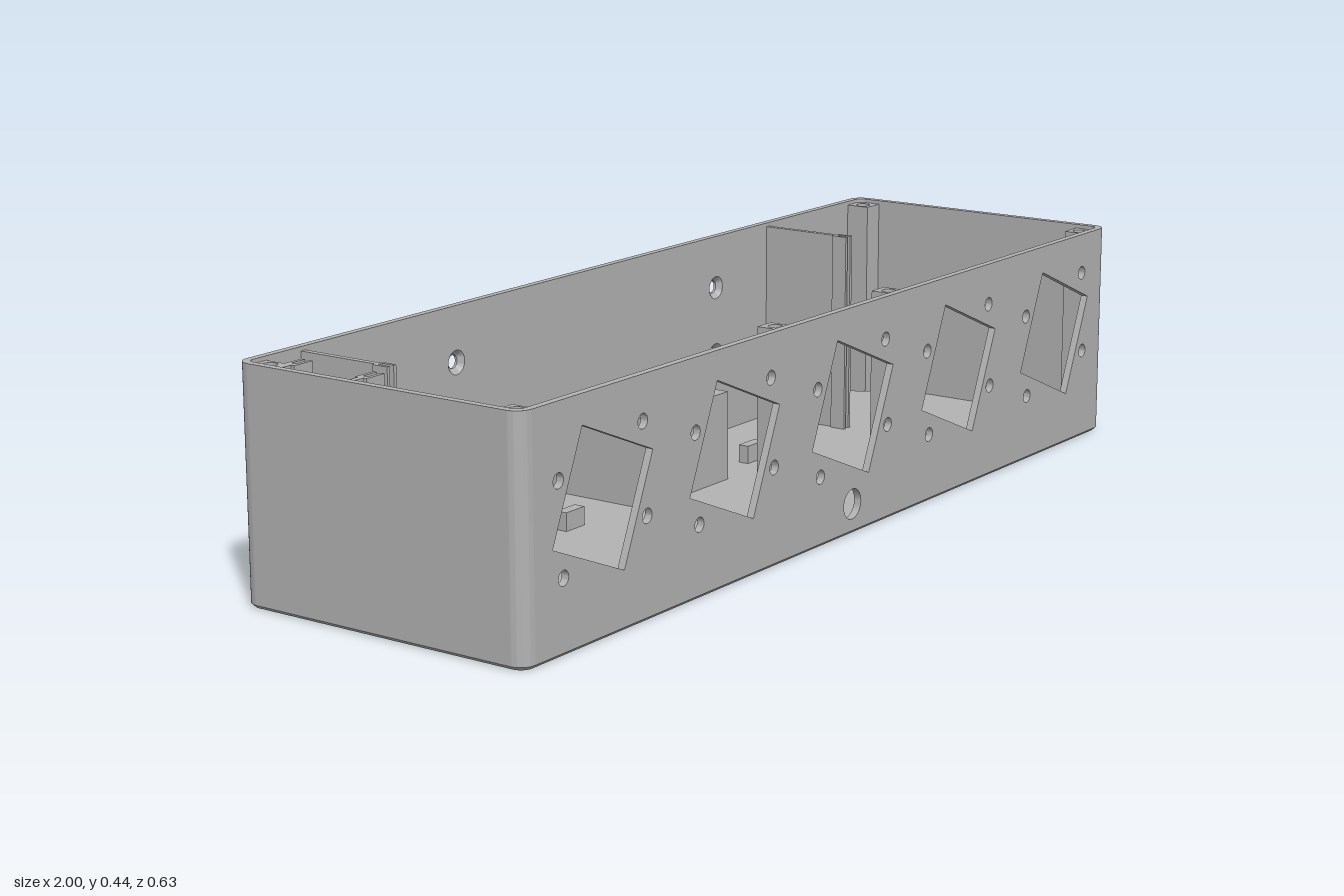
import * as THREE from 'three';
import { toCreasedNormals } from 'three/addons/utils/BufferGeometryUtils.js';

const HX = 1, HZ = 0.317, H = 0.445, T = 0.015, R = 0.03, CH = 0.007, FLOOR = 0.018;
const NL = -0.125, NR = 0.12, NF = -0.083, NH = 0.185; // socket notch: left, right, front, height

export function createModel() {
  const group = new THREE.Group();
  const grey = new THREE.MeshStandardMaterial({ color: 0xb3b3b3, side: THREE.DoubleSide });
  grey.name = 'grey plastic';

  const add = (name, geo, x = 0, y = 0, z = 0) => {
    const mesh = new THREE.Mesh(geo, grey);
    mesh.name = name;
    mesh.position.set(x, y, z);
    group.add(mesh);
    return mesh;
  };
  // Box given by its limits
  const box = (name, x0, x1, y0, y1, z0, z1) =>
    add(name, new THREE.BoxGeometry(x1 - x0, y1 - y0, z1 - z0), (x0 + x1) / 2, (y0 + y1) / 2, (z0 + z1) / 2);
  const poly = (pts) => new THREE.Shape(pts.map(([x, y]) => new THREE.Vector2(x, y)));
  const rect = (x0, x1, y0, y1) => poly([[x0, y0], [x1, y0], [x1, y1], [x0, y1]]);
  const hole = (shape, x, y, r) => shape.holes.push(new THREE.Path().absarc(x, y, r, 0, Math.PI * 2, true));
  const extrude = (shape, depth) => toCreasedNormals(
    new THREE.ExtrudeGeometry(shape, { depth, bevelEnabled: false, curveSegments: 10 }), 0.6);
  // Horizontal plate: shape y points to the back
  const slab = (name, shape, y0, y1) => add(name, extrude(shape, y1 - y0).rotateX(-Math.PI / 2), 0, y0, 0);
  const lathe = (pts) => toCreasedNormals(
    new THREE.LatheGeometry(pts.map(([x, y]) => new THREE.Vector2(x, y)), 24), 0.6);
  // Countersunk screw hole lining, wide at its upper end
  const countersink = (wide, narrow, t) => lathe([[wide, 0], [narrow, 0], [narrow, t * 0.35], [wide, t]]);

  // Rounded outline, open at the notch in the back edge
  const outline = (inset) => {
    const pts = [[NL, HZ - inset]];
    const corners = [[-1, 1], [-1, -1], [1, -1], [1, 1]];
    corners.forEach(([sx, sy], k) => {
      for (let i = 0; i <= 6; i++) {
        const a = Math.PI / 2 * (1 + k + i / 6);
        pts.push([sx * (HX - R) + Math.cos(a) * (R - inset), sy * (HZ - R) + Math.sin(a) * (R - inset)]);
      }
    });
    pts.push([NR, HZ - inset]);
    return pts;
  };

  // Floor with notch, screw holes and foot recesses
  const lower = outline(CH), upper = outline(0);
  const floor = poly([...lower, [NR, -NF], [NL, -NF]]);
  const screwX = [-0.78, -0.39, 0, 0.39, 0.78];
  screwX.forEach((x) => hole(floor, x, -0.24, 0.028));
  for (const sx of [-1, 1]) for (const sz of [-1, 1]) hole(floor, sx * 0.952, sz * 0.269, 0.036);
  slab('floor', floor, 0, FLOOR);
  screwX.forEach((x) => add('floorScrewHole', countersink(0.028, 0.012, FLOOR), x, 0, 0.24));

  // Chamfer around the bottom edge
  const strip = [];
  for (let i = 0; i < lower.length - 1; i++) {
    const q = [[lower[i], 0], [lower[i + 1], 0], [upper[i + 1], CH], [upper[i], CH]];
    for (const k of [0, 1, 2, 0, 2, 3]) strip.push(q[k][0][0], q[k][1], -q[k][0][1]);
  }
  const chamfer = new THREE.BufferGeometry();
  chamfer.setAttribute('position', new THREE.Float32BufferAttribute(strip, 3));
  chamfer.computeVertexNormals();
  add('bottomChamfer', chamfer);

  // Front wall with five tilted square openings
  const front = rect(-HX + R, HX - R, CH, H);
  const tilt = -23 * Math.PI / 180, half = 0.107;
  for (const x of screwX) {
    const square = new THREE.Path();
    square.setFromPoints([0, 1, 2, 3].map((k) => {
      const a = tilt + Math.PI / 4 - k * Math.PI / 2;
      return new THREE.Vector2(x + Math.cos(a) * half * Math.SQRT2, 0.25 + Math.sin(a) * half * Math.SQRT2);
    }));
    square.closePath();
    front.holes.push(square);
    for (const s of [-1, 1]) {
      hole(front, x + s * 0.123, 0.25 - s * 0.059, 0.014);
      hole(front, x + s * 0.112, 0.25 + s * 0.112, 0.014);
    }
  }
  hole(front, 0, 0.06, 0.03);
  add('frontWall', extrude(front, T), 0, 0, HZ - T);

  // Back wall with notch, mounting holes and cable hole
  const back = poly([[-HX + R, CH], [NL, CH], [NL, NH], [NR, NH], [NR, CH], [HX - R, CH], [HX - R, H], [-HX + R, H]]);
  for (const x of [-0.425, 0.425]) for (const y of [0.19, 0.335]) {
    hole(back, x, y, 0.024);
    add('mountingHole', countersink(0.024, 0.013, T).rotateX(Math.PI / 2), x, y, -HZ);
  }
  hole(back, -0.743, 0.09, 0.025);
  add('backWall', extrude(back, T), 0, 0, -HZ);
  add('cableTube', lathe([[0.012, 0], [0.025, 0], [0.025, 0.102], [0.012, 0.102], [0.012, 0]]).rotateX(Math.PI / 2),
    -0.743, 0.09, -HZ);

  // Side walls, rounded corners and corner posts
  for (const sx of [-1, 1]) {
    box('sideWall', sx > 0 ? HX - T : -HX, sx > 0 ? HX : -HX + T, CH, H, -HZ + R, HZ - R);
    for (const sy of [-1, 1]) {
      const a = Math.atan2(sy, sx) < 0 ? (sx > 0 ? -Math.PI / 2 : Math.PI) : (sx > 0 ? 0 : Math.PI / 2);
      const cx = sx * (HX - R), cy = sy * (HZ - R);
      const ring = new THREE.Shape();
      ring.absarc(cx, cy, R, a, a + Math.PI / 2, false);
      ring.absarc(cx, cy, R - T, a + Math.PI / 2, a, true);
      slab('cornerWall', ring, CH, H);
      const xs = [sx * 0.988, sx * 0.937].sort((p, q) => p - q), ys = [sy * 0.305, sy * 0.25].sort((p, q) => p - q);
      const post = rect(xs[0], xs[1], ys[0], ys[1]);
      hole(post, sx * 0.958, sy * 0.275, 0.015);
      slab('cornerPost', post, 0.2, 0.437);
      box('cornerPostBase', xs[0], xs[1], FLOOR - 0.006, 0.2, ys[0], ys[1]);
    }
  }

  // Posts in the middle of the front wall
  for (const x of [-0.196, 0.196]) {
    const post = rect(x - 0.022, x + 0.022, -0.304, -0.245);
    hole(post, x, -0.27, 0.014);
    slab('frontPost', post, FLOOR, 0.437);
  }

  // Raised housing over the notch, with two openings on top
  const lid = rect(NL - T, NR + T, -NF - T, HZ - T);
  for (const [x0, x1, z0, z1] of [[-0.008, 0.11, -0.3, -0.178], [-0.122, -0.037, -0.202, -0.113]])
    lid.holes.push(new THREE.Path([[x0, -z0], [x1, -z0], [x1, -z1], [x0, -z1]].map((p) => new THREE.Vector2(...p))));
  slab('housingTop', lid, NH, NH + T);
  box('housingSide', NL - T, NL, 0.004, NH, -HZ + T, NF + T);
  box('housingSide', NR, NR + T, 0.004, NH, -HZ + T, NF + T);
  box('housingFront', NL, NR, 0.004, NH, NF, NF + T);

  // Upright dividers with a slotted front end
  for (const [x, z] of [[-0.843, -0.095], [0.62, -0.095]]) {
    box('divider', x - 0.006, x + 0.006, FLOOR, 0.437, -HZ + T, z - 0.03);
    box('dividerSlotBack', x - 0.012, x + 0.012, FLOOR, 0.437, z - 0.034, z - 0.026);
    box('dividerSlotCheek', x - 0.012, x - 0.005, FLOOR, 0.437, z - 0.03, z);
    box('dividerSlotCheek', x + 0.005, x + 0.012, FLOOR, 0.437, z - 0.03, z);
  }

  // Board guides on the right side wall
  for (const z of [-0.247, -0.08]) {
    box('guideArm', -HX + T, -0.935, FLOOR, 0.437, z - 0.006, z + 0.006);
    box('guideBase', -0.94, -0.928, FLOOR, 0.437, z - 0.013, z + 0.013);
    for (const s of [-1, 1]) box('guideCheek', -0.93, -0.893, FLOOR, 0.437, z + s * 0.009 - 0.004, z + s * 0.009 + 0.004);
  }

  // Small floor tabs
  for (const x of [-0.572, -0.322, 0.284, 0.46]) box('floorTab', x - 0.028, x + 0.028, FLOOR, 0.055, -0.125, -0.102);

  return group;
}
